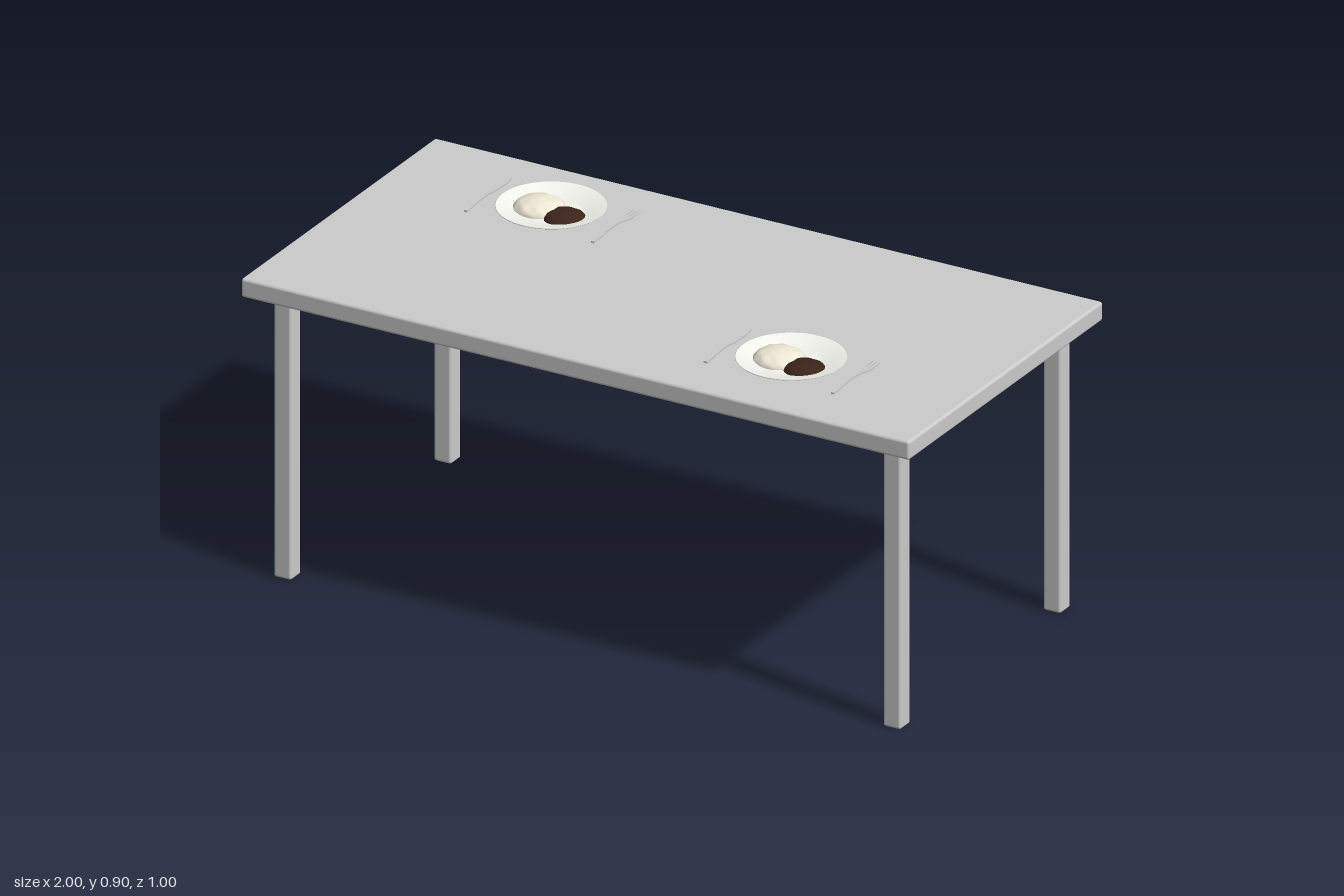
import * as THREE from 'three';
import { RoundedBoxGeometry } from 'three/addons/geometries/RoundedBoxGeometry.js';

const TOP = 0.862;
const grey = new THREE.MeshStandardMaterial({ color: 0xcccccc });
const china = new THREE.MeshStandardMaterial({ color: 0xf4f4ee });
const cream = new THREE.MeshStandardMaterial({ color: 0xeee8d6 });
const brown = new THREE.MeshStandardMaterial({ color: 0x3c241a });

function add(parent, name, geometry, material, x = 0, y = 0, z = 0) {
  const mesh = new THREE.Mesh(geometry, material);
  mesh.name = name;
  mesh.position.set(x, y, z);
  parent.add(mesh);
  return mesh;
}

// linear interpolation through [position, value] pairs
function sample(keys, t) {
  for (let i = 1; i < keys.length; i++) {
    const [a, va] = keys[i - 1], [b, vb] = keys[i];
    if (t <= b) return va + (vb - va) * Math.max(0, (t - a) / (b - a));
  }
  return keys[keys.length - 1][1];
}

// gentle lengthwise bend shared by knife and fork, handle end at +z
const bend = z => 0.011 + 0.003 * Math.sin((z + 0.02) * 28);

// thin bar along z with varying width, following the bend
function bar(z0, z1, widths, thickness, x = 0) {
  const g = new THREE.BoxGeometry(1, thickness, z1 - z0, 2, 1, 20);
  g.translate(0, 0, (z0 + z1) / 2);
  const p = g.attributes.position;
  for (let i = 0; i < p.count; i++) {
    const z = p.getZ(i);
    p.setXYZ(i, x + p.getX(i) * sample(widths, z), p.getY(i) + bend(z), z);
  }
  g.computeVertexNormals();
  return g;
}

// low dome of food with a slightly uneven surface
function mound(radius, height, bump) {
  const g = new THREE.SphereGeometry(1, 40, 16, 0, Math.PI * 2, 0, Math.PI / 2);
  const p = g.attributes.position;
  for (let i = 0; i < p.count; i++) {
    const x = p.getX(i), y = p.getY(i), z = p.getZ(i);
    const k = 1 + bump * Math.sin(x * 9 + 1) * Math.sin(z * 8 + 2) * Math.cos(y * 5);
    p.setXYZ(i, x * radius * k, y * height * k, z * radius * k);
  }
  g.computeVertexNormals();
  return g;
}

function createPlate() {
  const profile = [
    [0, 0.003], [0.075, 0.003], [0.08, 0.004], [0.11, 0.011], [0.144, 0.022],
    [0.146, 0.024], [0.144, 0.025], [0.11, 0.016], [0.085, 0.0095], [0.075, 0.008], [0, 0.008],
  ].map(([r, y]) => new THREE.Vector2(r, y));
  return new THREE.LatheGeometry(profile, 64);
}

function createSetting(x, z) {
  const setting = new THREE.Group();
  setting.name = 'placeSetting';
  setting.position.set(x, TOP, z);
  add(setting, 'plate', createPlate(), china);
  add(setting, 'potatoMound', mound(0.069, 0.031, 0.04), cream, -0.036, 0.007, 0);
  add(setting, 'meatPatty', mound(0.055, 0.023, 0.03), brown, 0.053, 0.007, 0.021);

  // knife: blade towards -z, narrow neck, flared handle
  add(setting, 'knife', bar(-0.117, 0.115,
    [[-0.117, 0.005], [-0.1, 0.012], [-0.02, 0.014], [0, 0.008], [0.02, 0.009], [0.09, 0.014], [0.115, 0.01]],
    0.005), grey, -0.19);

  // fork: handle and palm, then the tines
  const fork = new THREE.Group();
  fork.name = 'fork';
  fork.position.x = 0.19;
  setting.add(fork);
  add(fork, 'forkHandle', bar(-0.07, 0.115,
    [[-0.07, 0.027], [-0.055, 0.026], [-0.035, 0.012], [-0.02, 0.007], [0.02, 0.008], [0.09, 0.014], [0.115, 0.009]],
    0.005), grey);
  for (const tx of [-0.0108, 0, 0.0108]) {
    add(fork, 'forkTine', bar(-0.11, -0.069, [[-0.11, 0.0035], [-0.069, 0.0055]], 0.004, tx), grey);
  }
  return setting;
}

export function createModel() {
  const model = new THREE.Group();
  model.name = 'diningTable';

  // table
  add(model, 'tabletop', new RoundedBoxGeometry(2, 0.054, 1, 4, 0.008), grey, 0, TOP - 0.027, 0);
  for (const sx of [-1, 1]) {
    for (const sz of [-1, 1]) {
      add(model, 'leg', new RoundedBoxGeometry(0.053, 0.815, 0.053, 4, 0.008), grey, sx * 0.912, 0.4075, sz * 0.412);
    }
  }

  // two diagonal places
  model.add(createSetting(-0.505, -0.247), createSetting(0.498, 0.243));
  return model;
}
